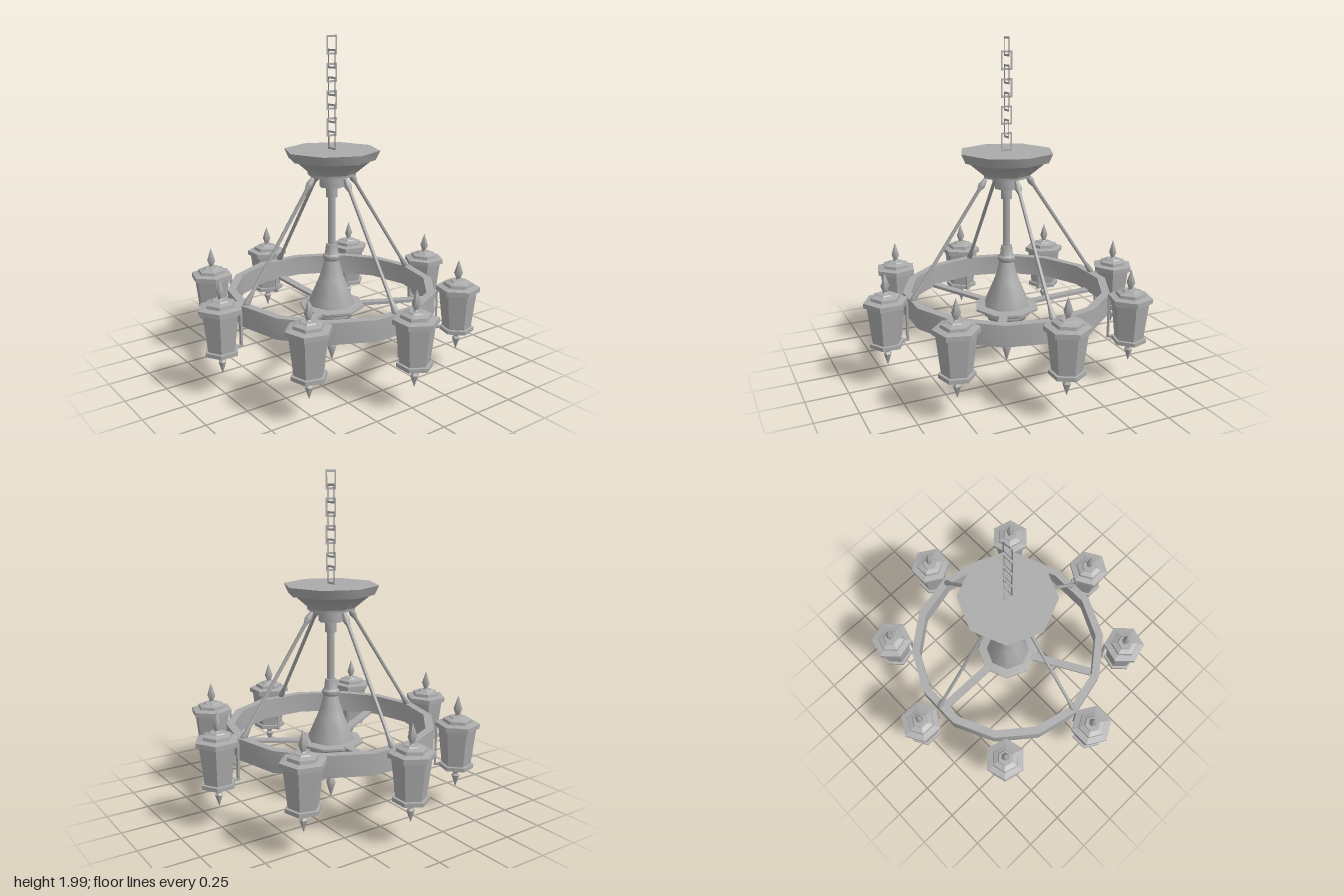
import * as THREE from 'three';
import { toCreasedNormals } from 'three/addons/utils/BufferGeometryUtils.js';

export function createModel() {
  const model = new THREE.Group();
  const iron = new THREE.MeshStandardMaterial({ color: 0xaaaaaa, side: THREE.DoubleSide });
  iron.name = 'grey iron';

  // Turned part: profile of [radius, y] from bottom to top
  const turn = (profile, sides, crease) => toCreasedNormals(
    new THREE.LatheGeometry(profile.map(([r, y]) => new THREE.Vector2(r, y)), sides), crease);
  const add = (parent, name, geometry) => {
    const mesh = new THREE.Mesh(geometry, iron);
    mesh.name = name;
    parent.add(mesh);
    return mesh;
  };
  const SMOOTH = 0.85, FLAT = 0.02;

  // Ceiling canopy with its stepped collar
  add(model, 'canopy', turn([
    [0, 1.195], [0.145, 1.195], [0.145, 1.21], [0.235, 1.285], [0.26, 1.29], [0.285, 1.345], [0, 1.345],
  ], 8, SMOOTH));
  add(model, 'canopyCollar', turn([
    [0, 1.06], [0.035, 1.06], [0.035, 1.125], [0.075, 1.125], [0.075, 1.2],
  ], 8, SMOOTH));

  // Central stem, flared body and stepped base plate
  add(model, 'stem', new THREE.CylinderGeometry(0.023, 0.023, 0.34, 8).translate(0, 0.9, 0));
  add(model, 'flaredBody', turn([
    [0.145, 0.37], [0.14, 0.41], [0.08, 0.55], [0.06, 0.61], [0.045, 0.67], [0.055, 0.68],
    [0.055, 0.7], [0.042, 0.71], [0.035, 0.77], [0, 0.77],
  ], 8, SMOOTH));
  add(model, 'basePlate', turn([
    [0, 0.25], [0.06, 0.25], [0.08, 0.29], [0.12, 0.305], [0.13, 0.33], [0.145, 0.335],
    [0.145, 0.355], [0.17, 0.36], [0.2, 0.375], [0.2, 0.388], [0.14, 0.395], [0, 0.395],
  ], 8, SMOOTH));
  add(model, 'bottomFinial', turn([
    [0, 0.01], [0.007, 0.03], [0.03, 0.105], [0.012, 0.155], [0.02, 0.165], [0.035, 0.172],
    [0.072, 0.207], [0.03, 0.235], [0.03, 0.26],
  ], 8, SMOOTH));

  // Fourteen-sided hoop
  add(model, 'hoop', turn([
    [0.582, 0.39], [0.632, 0.39], [0.632, 0.515], [0.582, 0.515], [0.582, 0.39],
  ], 14, SMOOTH));

  // Three spokes from the base plate to the hoop
  for (let i = 0; i < 3; i++) {
    const spoke = new THREE.Group();
    spoke.name = 'spoke';
    spoke.rotation.y = -Math.PI / 2 + i * Math.PI * 2 / 3;
    add(spoke, 'spokeBar', new THREE.BoxGeometry(0.05, 0.018, 0.47))
      .position.set(0, 0.388, 0.36);
    spoke.children[0].rotation.x = -0.03;
    model.add(spoke);
  }

  // Four sloping rods with swollen ends
  const rodLength = Math.hypot(0.475, 0.69);
  const rodGeometry = turn([
    [0, 0], [0.016, 0.01], [0.02, 0.03], [0.011, 0.1], [0.011, rodLength - 0.08],
    [0.022, rodLength - 0.045], [0.012, rodLength], [0, rodLength],
  ], 8, SMOOTH);
  for (let i = 0; i < 4; i++) {
    const arm = new THREE.Group();
    arm.name = 'supportRod';
    arm.rotation.y = i * Math.PI / 2;
    const rod = add(arm, 'rod', rodGeometry);
    rod.position.set(0, 0.5, 0.61);
    rod.rotation.x = Math.atan2(-0.475, 0.69);
    model.add(arm);
  }

  // Eight hexagonal lanterns, one corner facing outward
  const cap = turn([
    [0.105, 0.51], [0.13, 0.512], [0.13, 0.54], [0.088, 0.547], [0.085, 0.565], [0.052, 0.575],
    [0.045, 0.582], [0, 0.582],
  ], 6, FLAT);
  const body = turn([[0.085, 0.285], [0.112, 0.515]], 6, FLAT);
  const foot = turn([
    [0, 0.245], [0.035, 0.245], [0.045, 0.265], [0.102, 0.265], [0.102, 0.288], [0.08, 0.29],
  ], 6, FLAT);
  const spike = turn([
    [0.022, 0.575], [0.012, 0.59], [0.026, 0.625], [0.012, 0.67], [0, 0.705],
  ], 6, SMOOTH);
  const drop = turn([[0, 0.14], [0.024, 0.212], [0.014, 0.225], [0.022, 0.25]], 6, SMOOTH);
  for (let i = 0; i < 8; i++) {
    const holder = new THREE.Group();
    holder.name = 'lanternHolder';
    holder.rotation.y = i * Math.PI / 4;
    const lantern = new THREE.Group();
    lantern.name = 'lantern';
    lantern.position.z = 0.762;
    add(lantern, 'lanternCap', cap);
    add(lantern, 'lanternBody', body);
    add(lantern, 'lanternFoot', foot);
    add(lantern, 'lanternSpike', spike);
    add(lantern, 'lanternDrop', drop);
    holder.add(lantern);
    // Bracket hanging from the hoop to the lantern foot
    add(holder, 'bracketStrip', new THREE.BoxGeometry(0.02, 0.24, 0.012)).position.set(0, 0.39, 0.638);
    add(holder, 'bracketArm', new THREE.BoxGeometry(0.02, 0.012, 0.06)).position.set(0, 0.276, 0.66);
    model.add(holder);
  }

  // Chain of flat rectangular links, alternately turned
  const rectangle = (target, w, h) => target.moveTo(-w, -h).lineTo(w, -h).lineTo(w, h).lineTo(-w, h).closePath();
  const linkShape = rectangle(new THREE.Shape(), 0.036, 0.055);
  linkShape.holes.push(rectangle(new THREE.Path(), 0.025, 0.043));
  const linkGeometry = new THREE.ShapeGeometry(linkShape);
  for (let i = 0; i < 8; i++) {
    const link = add(model, 'chainLink', linkGeometry);
    link.position.y = 1.4 + i * 0.0779;
    link.rotation.y = (i % 2) * Math.PI / 2;
  }
  return model;
}
